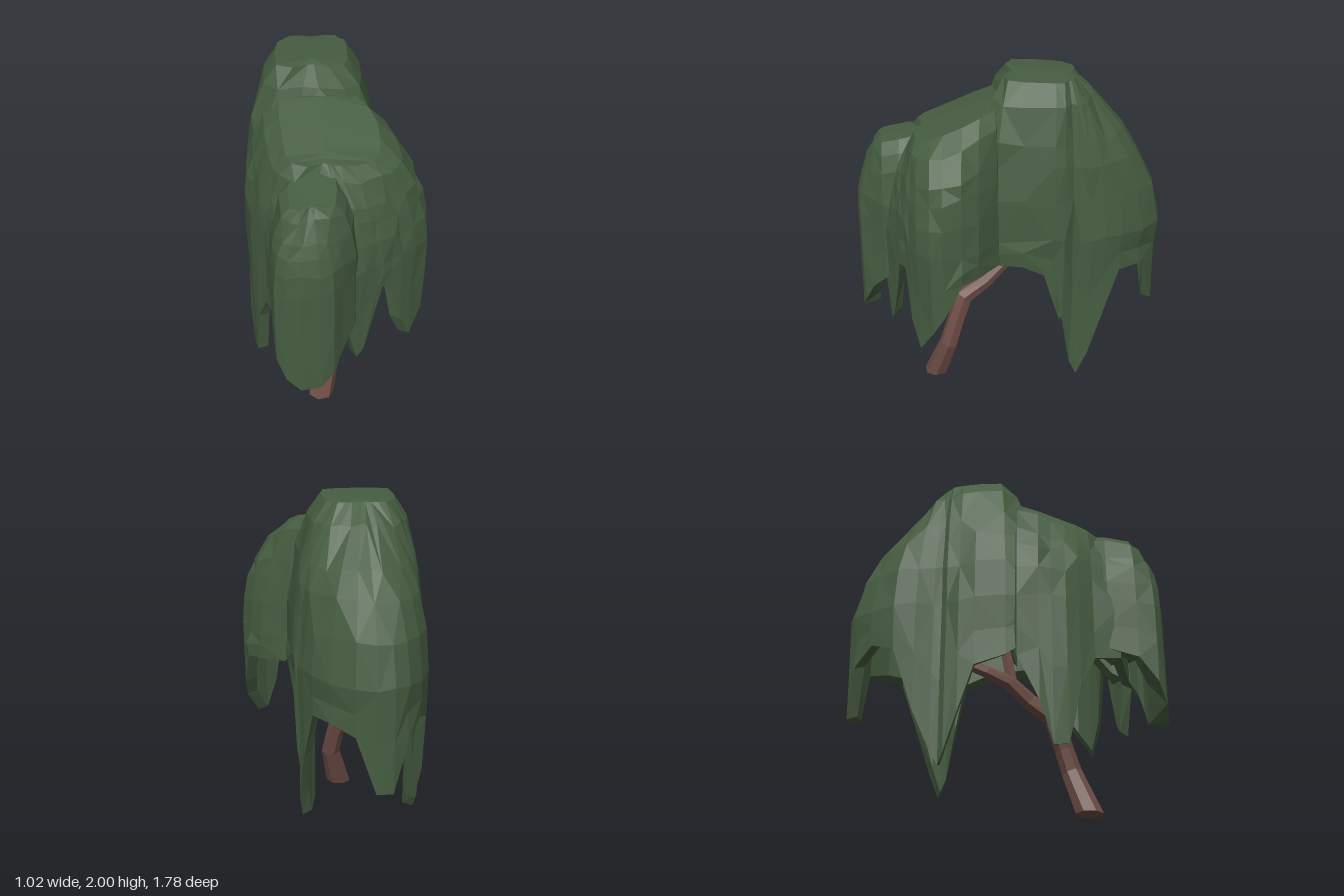
import * as THREE from 'three';

const leaf = new THREE.MeshStandardMaterial({ color: 0x465d41, flatShading: true, side: THREE.DoubleSide });
leaf.name = 'leaf green';
const bark = new THREE.MeshStandardMaterial({ color: 0x6d4c45, flatShading: true });
bark.name = 'bark brown';

// Small repeatable noise in -1..1
let seed = 7;
const noise = () => {
  seed = (seed * 16807) % 2147483647;
  return (seed / 2147483647) * 2 - 1;
};

// Skin a stack of closed rings of Vector3, alternating the diagonals
function loft(rings) {
  const pos = [];
  const tri = (a, b, c) => {
    const n = b.clone().sub(a).cross(c.clone().sub(a));
    if (n.length() > 1e-7) for (const p of [a, b, c]) pos.push(p.x, p.y, p.z);
  };
  for (let i = 0; i < rings.length - 1; i++) {
    const n = rings[i].length;
    for (let j = 0; j < n; j++) {
      const k = (j + 1) % n;
      const a = rings[i][j], b = rings[i][k], c = rings[i + 1][j], d = rings[i + 1][k];
      if ((i + j) % 2) { tri(a, b, c); tri(b, d, c); }
      else { tri(a, b, d); tri(a, d, c); }
    }
  }
  const g = new THREE.BufferGeometry();
  g.setAttribute('position', new THREE.Float32BufferAttribute(pos, 3));
  g.computeVertexNormals();
  return g;
}

// Canopy profile: [share of the drop from ridge to shoulder, share of the spread]
const PROFILE = [[0, 0], [0.015, 0.1], [0.14, 0.3], [0.37, 0.6], [0.52, 0.77], [0.74, 0.92], [1, 1]];

// Hollow hanging canopy below a sloping ridge from [z, y] to [z, y]; each column is [x, z, hem height]
function canopy(name, { cx, ridge, base, ceil, inset, columns }) {
  const [[z0, y0], [z1, y1]] = ridge;
  const cols = columns.map(([x, z, hem]) => {
    const az = THREE.MathUtils.clamp(z, z0, z1);
    const dx = x - cx, dz = z - az;
    return { dx, dz, az, hem, crown: THREE.MathUtils.mapLinear(az, z0, z1, y0, y1), reach: Math.hypot(dx, dz) };
  });
  // The sides are boxier than the two ends
  const place = (c, k, y, wobble = 0) => {
    const s = k ** (1 - 0.72 * (c.dx / c.reach) ** 2) * (1 + noise() * wobble);
    return new THREE.Vector3(cx + c.dx * s, y + noise() * wobble * 0.5, c.az + c.dz * s);
  };
  const inner = (c, y) => place(c, 1, y).sub(
    new THREE.Vector3(c.dx, 0, c.dz).multiplyScalar(inset / c.reach));
  const rings = PROFILE.map(([f, k]) =>
    cols.map(c => place(c, k, c.crown - f * (c.crown - base), k > 0.2 ? 0.03 : 0)));
  // Skirt down to the ragged hem
  rings.push(cols.map(c => place(c, 1, (base + c.hem) / 2, 0.025)));
  rings.push(cols.map(c => place(c, 1, c.hem)));
  // Inside wall and ceiling
  rings.push(cols.map(c => inner(c, c.hem + 0.02)));
  rings.push(cols.map(c => inner(c, Math.max(ceil, c.hem + 0.03))));
  rings.push(cols.map(c => new THREE.Vector3(cx, ceil + 0.04, c.az)));
  const m = new THREE.Mesh(loft(rings), leaf);
  m.name = name;
  return m;
}

// Tapered limb through points [x, y, z, radius], closed at both ends
function limb(name, pts, sides = 7) {
  const P = pts.map(p => new THREE.Vector3(p[0], p[1], p[2]));
  const rings = P.map((p, i) => {
    const t = P[Math.min(i + 1, P.length - 1)].clone().sub(P[Math.max(i - 1, 0)]).normalize();
    if (i === 0 && p.y === 0) t.set(0, 1, 0);
    const u = new THREE.Vector3(1, 0, 0).addScaledVector(t, -t.x).normalize();
    const v = t.clone().cross(u);
    return Array.from({ length: sides }, (_, j) => {
      const a = (j / sides) * Math.PI * 2;
      return p.clone().addScaledVector(u, Math.cos(a) * pts[i][3]).addScaledVector(v, Math.sin(a) * pts[i][3]);
    });
  });
  rings.unshift(Array(sides).fill(P[0]));
  rings.push(Array(sides).fill(P[P.length - 1]));
  const m = new THREE.Mesh(loft(rings), bark);
  m.name = name;
  return m;
}

export function createModel() {
  seed = 7;
  const tree = new THREE.Group();
  tree.name = 'weepingTree';

  // Large rear canopy with a long strand on each side and one at the back
  tree.add(canopy('rearCanopy', {
    cx: -0.12, ridge: [[-0.3, 1.99], [-0.06, 2]], base: 1.12, ceil: 1.14, inset: 0.06,
    columns: [
      [0.25, -0.27, 0.87], [0.26, -0.1, 0.95], [0.26, 0.05, 0.96], [0.22, 0.2, 0.96],
      [0, 0.26, 1.05], [-0.25, 0.26, 1.05], [-0.46, 0.2, 0.9], [-0.5, 0.02, 0.77],
      [-0.49, -0.15, 0.72], [-0.48, -0.24, 0.45], [-0.46, -0.31, 0.24], [-0.43, -0.34, 0.18],
      [-0.43, -0.385, 0.26], [-0.45, -0.48, 0.48], [-0.44, -0.6, 0.85], [-0.38, -0.73, 0.9],
      [-0.3, -0.84, 0.8], [-0.22, -0.88, 0.53], [-0.13, -0.88, 0.53], [-0.02, -0.86, 0.85],
      [0.1, -0.77, 0.9], [0.18, -0.65, 0.9], [0.22, -0.56, 0.62], [0.24, -0.48, 0.36],
      [0.22, -0.42, 0.2], [0.2, -0.38, 0.27], [0.24, -0.33, 0.58],
    ],
  }));

  // Wide middle canopy sloping to the front
  tree.add(canopy('middleCanopy', {
    cx: -0.06, ridge: [[0.08, 1.85], [0.45, 1.7]], base: 1.12, ceil: 1.18, inset: 0.06,
    columns: [
      [0.48, 0.23, 0.95], [0.5, 0.33, 0.75], [0.49, 0.4, 0.64], [0.42, 0.48, 0.5],
      [0.36, 0.53, 0.66], [0.31, 0.56, 0.97], [0.25, 0.6, 0.96], [0.21, 0.62, 0.8],
      [0.15, 0.66, 0.56], [0.11, 0.68, 0.51], [0.05, 0.71, 0.78], [-0.15, 0.66, 0.85],
      [-0.34, 0.64, 0.8], [-0.39, 0.5, 0.78], [-0.44, 0.42, 0.6], [-0.46, 0.35, 0.27],
      [-0.48, 0.27, 0.26], [-0.5, 0.2, 0.5], [-0.5, 0.08, 0.76], [-0.35, 0, 1.05],
      [0, -0.02, 1.05], [0.2, 0, 1.05], [0.28, 0.04, 0.97], [0.4, 0.14, 0.96],
    ],
  }));

  // Narrow front canopy ending in a hanging tongue
  tree.add(canopy('frontCanopy', {
    cx: -0.13, ridge: [[0.45, 1.66], [0.7, 1.6]], base: 1.14, ceil: 0.92, inset: 0.1,
    columns: [
      [0.12, 0.6, 0.85], [0.1, 0.7, 0.78], [0.03, 0.79, 0.68], [-0.02, 0.85, 0.56],
      [-0.09, 0.88, 0.48], [-0.2, 0.89, 0.47], [-0.28, 0.88, 0.55], [-0.33, 0.84, 0.66],
      [-0.35, 0.74, 0.8], [-0.36, 0.58, 0.85], [-0.28, 0.4, 1.05], [-0.05, 0.4, 1.05],
      [0.1, 0.48, 1.0],
    ],
  }));

  // Leaning trunk running on into the rear branch
  tree.add(limb('trunk', [
    [-0.09, 0, 0.445, 0.077], [-0.03, 0.25, 0.355, 0.058], [-0.05, 0.38, 0.315, 0.055],
    [-0.09, 0.55, 0.265, 0.062], [-0.13, 0.64, 0.13, 0.048], [-0.18, 0.74, 0.02, 0.042],
    [-0.22, 0.79, -0.1, 0.034], [-0.26, 0.87, -0.31, 0.026],
  ]));
  tree.add(limb('middleBranch', [[-0.17, 0.7, 0.04, 0.036], [-0.17, 0.82, 0.02, 0.034], [-0.17, 1.2, -0.05, 0.028]], 6));
  tree.add(limb('frontBranch', [[-0.09, 0.48, 0.27, 0.04], [-0.13, 0.64, 0.35, 0.04], [-0.17, 0.8, 0.39, 0.034], [-0.18, 1.22, 0.41, 0.03]], 6));

  return tree;
}
